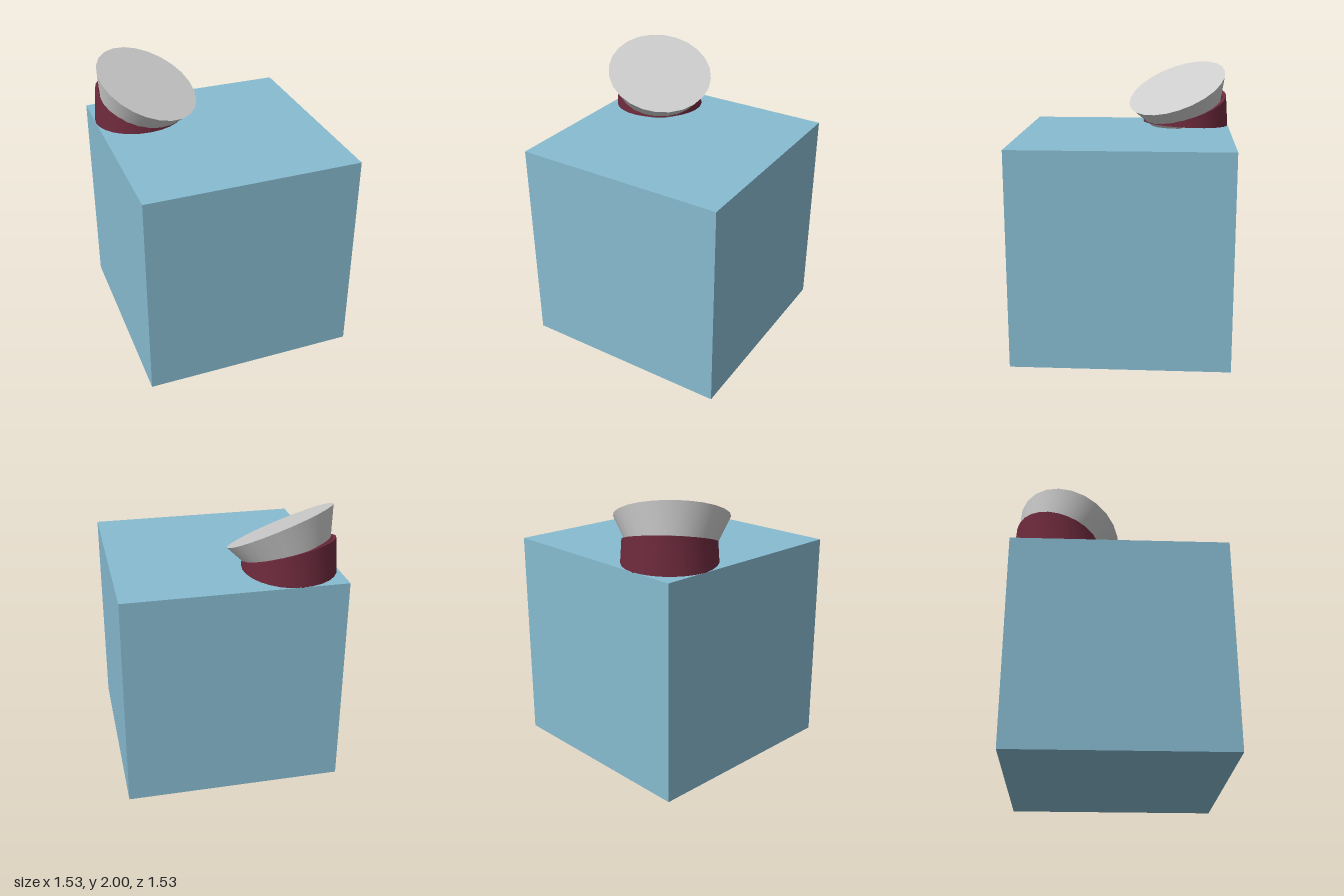
import * as THREE from 'three';

const BOX = 1.53;

// Hollow collar: a lathe whose rims are slanted across x and z
function slantedRing() {
  const profile = [[0.3, 0], [0.328, 0], [0.328, 0], [0.328, 1], [0.328, 1], [0.3, 1], [0.3, 1], [0.3, 0]]
    .map(([r, t]) => new THREE.Vector2(r, t));
  const geo = new THREE.LatheGeometry(profile, 28);
  const p = geo.attributes.position;
  for (let i = 0; i < p.count; i++) {
    const x = p.getX(i), z = p.getZ(i);
    const ux = x / 0.328, uz = z / 0.328;
    const low = 1.54 + 0.01 * ux + 0.014 * uz;
    const high = 1.68 - 0.072 * ux - 0.082 * uz;
    const y = p.getY(i) > 0.5 ? high : low;
    const taper = 1 - 0.22 * Math.max(0, y - BOX);
    p.setXYZ(i, x * taper, y, z * taper);
  }
  geo.computeVertexNormals();
  return geo;
}

export function createModel() {
  const group = new THREE.Group();
  const add = (name, geo, color, side = THREE.FrontSide) => {
    const mesh = new THREE.Mesh(geo, new THREE.MeshStandardMaterial({ color, side }));
    mesh.name = name;
    group.add(mesh);
    return mesh;
  };

  // Large cube body
  add('cube', new THREE.BoxGeometry(BOX, BOX, BOX), 0x87bbd0).position.y = BOX / 2;

  // Collar standing on the back corner
  add('collar', slantedRing(), 0x6e2a3d, THREE.DoubleSide).position.set(-0.438, 0, -0.438);

  // Flared plug leaning towards the front and +x
  const axis = new THREE.Vector3(0.328, 0.886, 0.328).normalize();
  const height = 0.2;
  const plug = add('flaredPlug', new THREE.CylinderGeometry(0.388, 0.29, height, 24), 0xcccccc);
  plug.quaternion.setFromUnitVectors(new THREE.Vector3(0, 1, 0), axis);
  plug.position.set(-0.385, 1.82, -0.367).addScaledVector(axis, -height / 2);

  return group;
}
